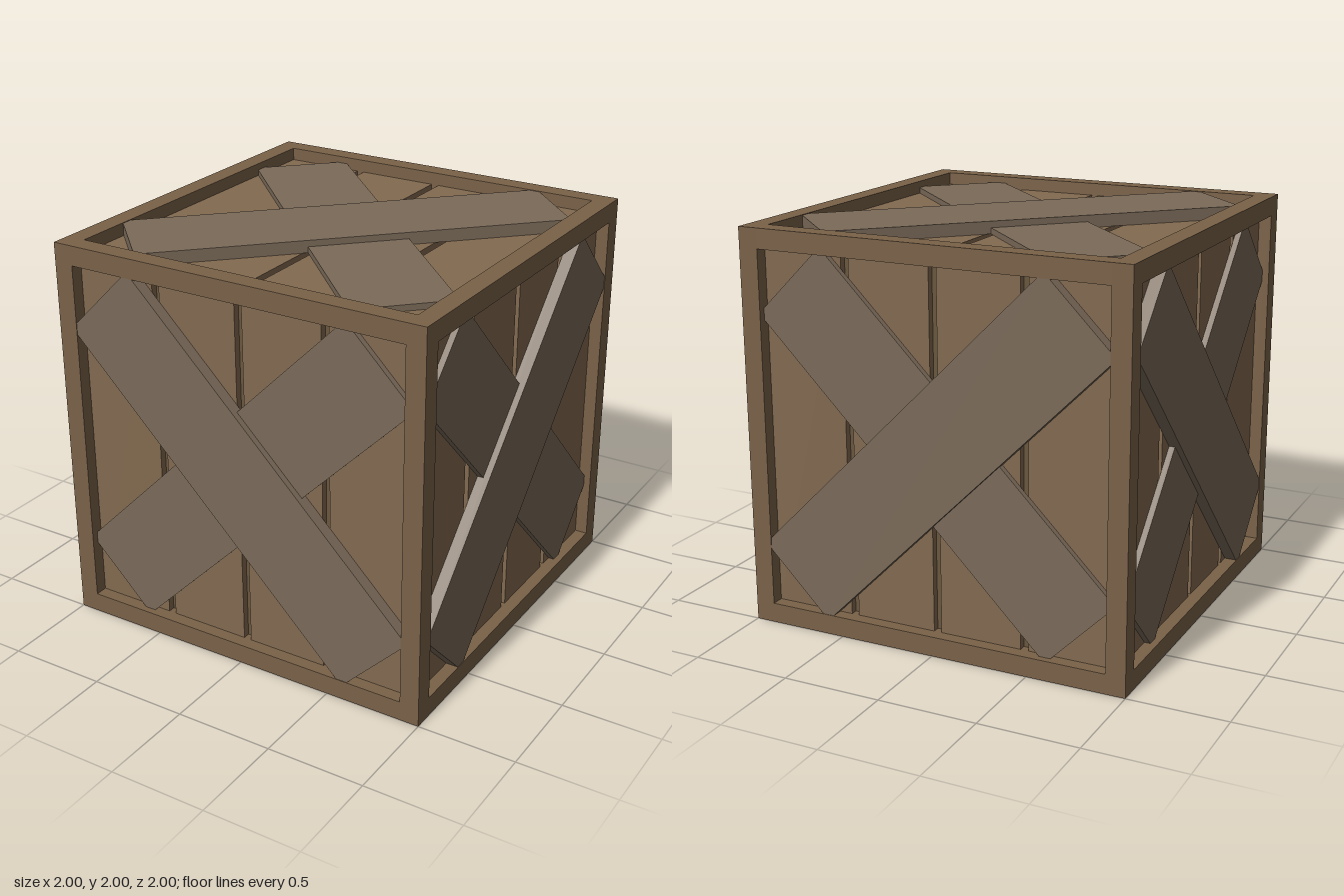
import * as THREE from 'three';

const material = (color) => new THREE.MeshStandardMaterial({ color });
const frameMat = material(0x7a6248);
const plankMat = material(0x826a50);
const braceMat = material(0x7a6a59);
const coreMat = material(0x69573f);

function box(name, size, position, mat) {
  const mesh = new THREE.Mesh(new THREE.BoxGeometry(...size), mat);
  mesh.name = name;
  mesh.position.set(...position);
  return mesh;
}

// Twelve square beams along the edges of the cube
function createFrame() {
  const frame = new THREE.Group();
  frame.name = 'frame';
  for (const a of [-0.95, 0.95]) {
    for (const b of [-0.95, 0.95]) {
      frame.add(box('uprightBeam', [0.1, 2, 0.1], [a, 0, b], frameMat));
      frame.add(box('crossBeam', [1.8, 0.1, 0.1], [0, a, b], frameMat));
      frame.add(box('depthBeam', [0.1, 0.1, 1.8], [a, b, 0], frameMat));
    }
  }
  return frame;
}

// One face, built looking along -z: four planks and two crossed braces.
// lean is the sign of the slope of the brace that lies on top.
function createFace(name, lean) {
  const face = new THREE.Group();
  face.name = name;

  const plankSpans = [[-0.9, -0.482], [-0.442, -0.02], [0.02, 0.442], [0.482, 0.9]];
  for (const [x0, x1] of plankSpans) {
    face.add(box('plank', [x1 - x0, 1.8, 0.035], [(x0 + x1) / 2, 0, 0.9175], plankMat));
  }

  const addBrace = (braceName, depth, slope) => {
    const brace = box(braceName, [2.135, 0.495, depth], [0, 0, 0.935 + depth / 2], braceMat);
    brace.rotation.z = slope * Math.PI / 4;
    face.add(brace);
  };
  addBrace('lowerBrace', 0.03, -lean);
  addBrace('upperBrace', 0.062, lean);
  return face;
}

export function createModel() {
  const crate = new THREE.Group();
  crate.name = 'crate';

  const body = new THREE.Group();
  body.name = 'body';
  body.position.y = 1;
  crate.add(body);

  // Dark inner box seen between the planks
  body.add(box('core', [1.8, 1.8, 1.8], [0, 0, 0], coreMat));
  body.add(createFrame());

  const q = Math.PI / 2;
  const faces = [
    ['frontFace', -1, 0, 0],
    ['backFace', 1, 0, 2 * q],
    ['leftFace', 1, 0, q],
    ['rightFace', -1, 0, -q],
    ['topFace', 1, -q, 0],
    ['bottomFace', 1, q, 0],
  ];
  for (const [name, lean, rx, ry] of faces) {
    const face = createFace(name, lean);
    face.rotation.set(rx, ry, 0);
    body.add(face);
  }
  return crate;
}
